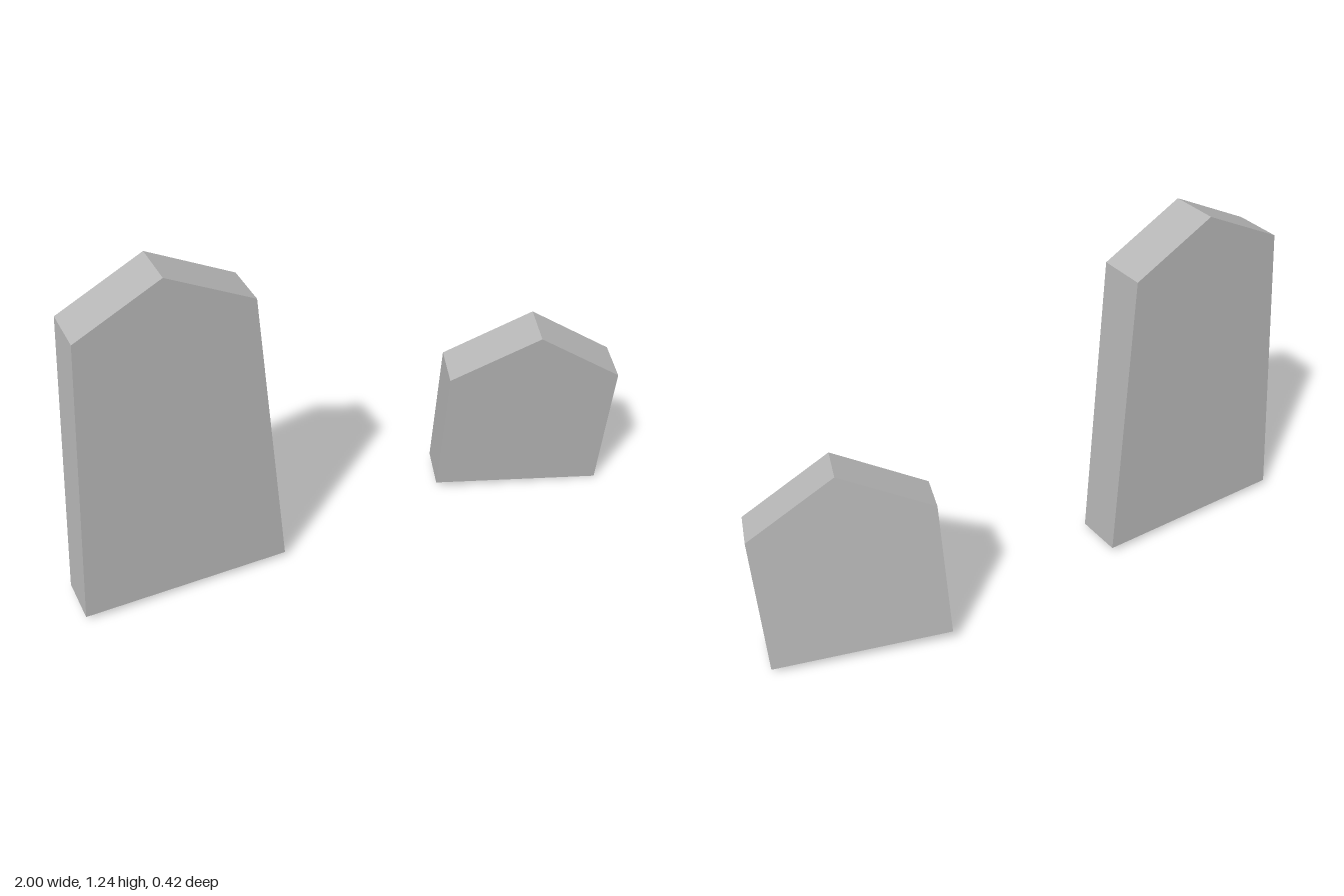
import * as THREE from 'three';

const stone = new THREE.MeshStandardMaterial({ color: 0xb6b6b6 });
stone.name = 'grey stone';

// Slab with a pointed top; its origin is the middle of the front bottom edge
function slab(name, { base, top, shoulder, peak, depth, position, rotation }) {
  const shape = new THREE.Shape([
    [-base / 2, 0], [base / 2, 0], [top / 2, shoulder], [0, peak], [-top / 2, shoulder],
  ].map(([x, y]) => new THREE.Vector2(x, y)));
  const geometry = new THREE.ExtrudeGeometry(shape, { depth, bevelEnabled: false });
  geometry.translate(0, 0, -depth);
  const mesh = new THREE.Mesh(geometry, stone);
  mesh.name = name;
  mesh.position.set(...position);
  mesh.rotation.set(...rotation, 'YXZ');
  return mesh;
}

export function createModel() {
  const group = new THREE.Group();
  group.name = 'standingStones';
  group.add(
    // Tall tapered stone, leaning slightly forward
    slab('tallStone', {
      base: 0.72, top: 0.58, shoulder: 1.065, peak: 1.215, depth: 0.17,
      position: [-0.64, 0.019, 0.008], rotation: [0.024, -0.02, 0],
    }),
    // Short straight-sided stone, turned and tilted
    slab('shortStone', {
      base: 0.605, top: 0.605, shoulder: 0.5, peak: 0.675, depth: 0.156,
      position: [0.6625, 0.015, 0.043], rotation: [0.116, -0.363, -0.046],
    }),
  );
  return group;
}
